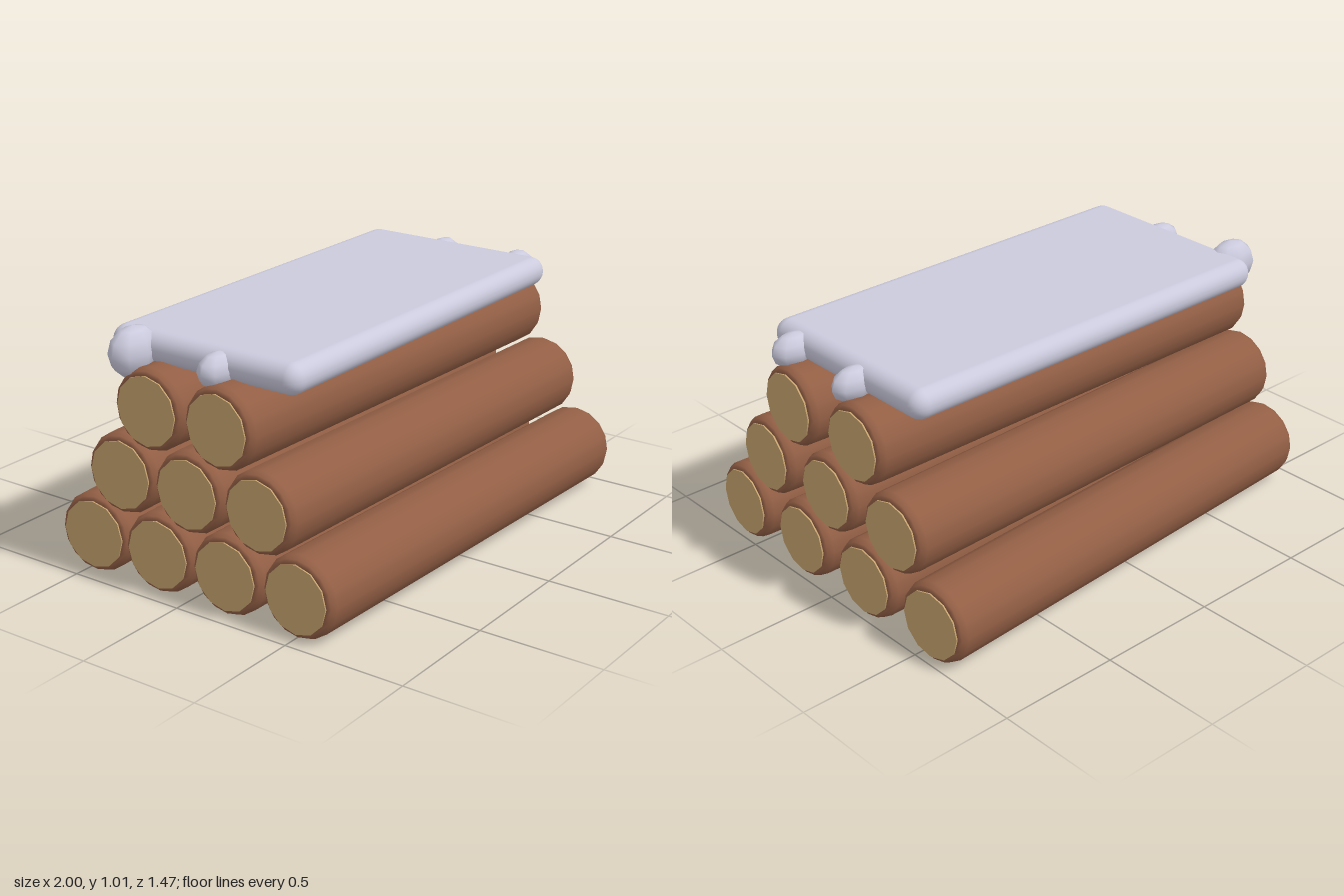
import * as THREE from 'three';
import { RoundedBoxGeometry } from 'three/addons/geometries/RoundedBoxGeometry.js';

function material(name, color) {
  const m = new THREE.MeshStandardMaterial({ color });
  m.name = name;
  return m;
}

export function createModel() {
  const group = new THREE.Group();
  group.name = 'snowyLogPile';
  const bark = material('bark', 0x935f45);
  const wood = material('cutWood', 0xc8a46f);
  const snow = material('snow', 0xcbcadd);

  // Log: bevelled trunk lying along x, with a pale disc on each sawn end
  const R = 0.161, half = 0.965;
  const end = [[0, 0], [0.138, 0], [0.151, 0.008], [R, 0.032]];
  const profile = [
    ...end.map(([r, d]) => new THREE.Vector2(r, d - half)),
    ...end.slice().reverse().map(([r, d]) => new THREE.Vector2(r, half - d)),
  ];
  const trunkGeo = new THREE.LatheGeometry(profile, 16).rotateZ(-Math.PI / 2);
  const capGeo = new THREE.CylinderGeometry(0.136, 0.136, 0.008, 12).rotateZ(-Math.PI / 2);

  function addLog(y, zLeft, zRight) {
    const log = new THREE.Group();
    log.name = 'log';
    const trunk = new THREE.Mesh(trunkGeo, bark);
    trunk.name = 'trunk';
    log.add(trunk);
    for (const side of [-1, 1]) {
      const cap = new THREE.Mesh(capGeo, wood);
      cap.name = 'sawnEnd';
      cap.position.x = side * (half + 0.002);
      log.add(cap);
    }
    log.position.set(0.018, y, (zLeft + zRight) / 2);
    log.rotation.y = -Math.atan2(zRight - zLeft, 2 * half);
    group.add(log);
  }

  // Rows from the ground up: height, then z at the -x end and at the +x end
  const rows = [
    [0.163, [[0.51, 0.575], [0.19, 0.195], [-0.13, -0.19], [-0.45, -0.575]]],
    [0.443, [[0.34, 0.4], [0.02, 0.02], [-0.3, -0.365]]],
    [0.725, [[0.165, 0.23], [-0.16, -0.16]]],
  ];
  for (const [y, logs] of rows) for (const [a, b] of logs) addLog(y, a, b);

  // Snow slab with rounded rim
  const slab = new THREE.Mesh(new RoundedBoxGeometry(1.75, 0.12, 0.87, 4, 0.059), snow);
  slab.name = 'snowSlab';
  slab.position.set(0.015, 0.925, 0.015);
  group.add(slab);

  // Lumps of snow hanging over the slab ends
  const lumpGeo = new THREE.SphereGeometry(1, 8, 6);
  const lumps = [
    [-0.88, 0.917, -0.27, 0.12, 0.098, 0.075],
    [-0.85, 0.912, 0.1, 0.1, 0.068, 0.06],
    [0.895, 0.912, -0.07, 0.1, 0.068, 0.058],
    [0.895, 0.915, 0.293, 0.1, 0.068, 0.062],
  ];
  for (const [x, y, z, sx, sy, sz] of lumps) {
    const lump = new THREE.Mesh(lumpGeo, snow);
    lump.name = 'snowLump';
    lump.position.set(x, y, z);
    lump.scale.set(sx, sy, sz);
    group.add(lump);
  }
  return group;
}
